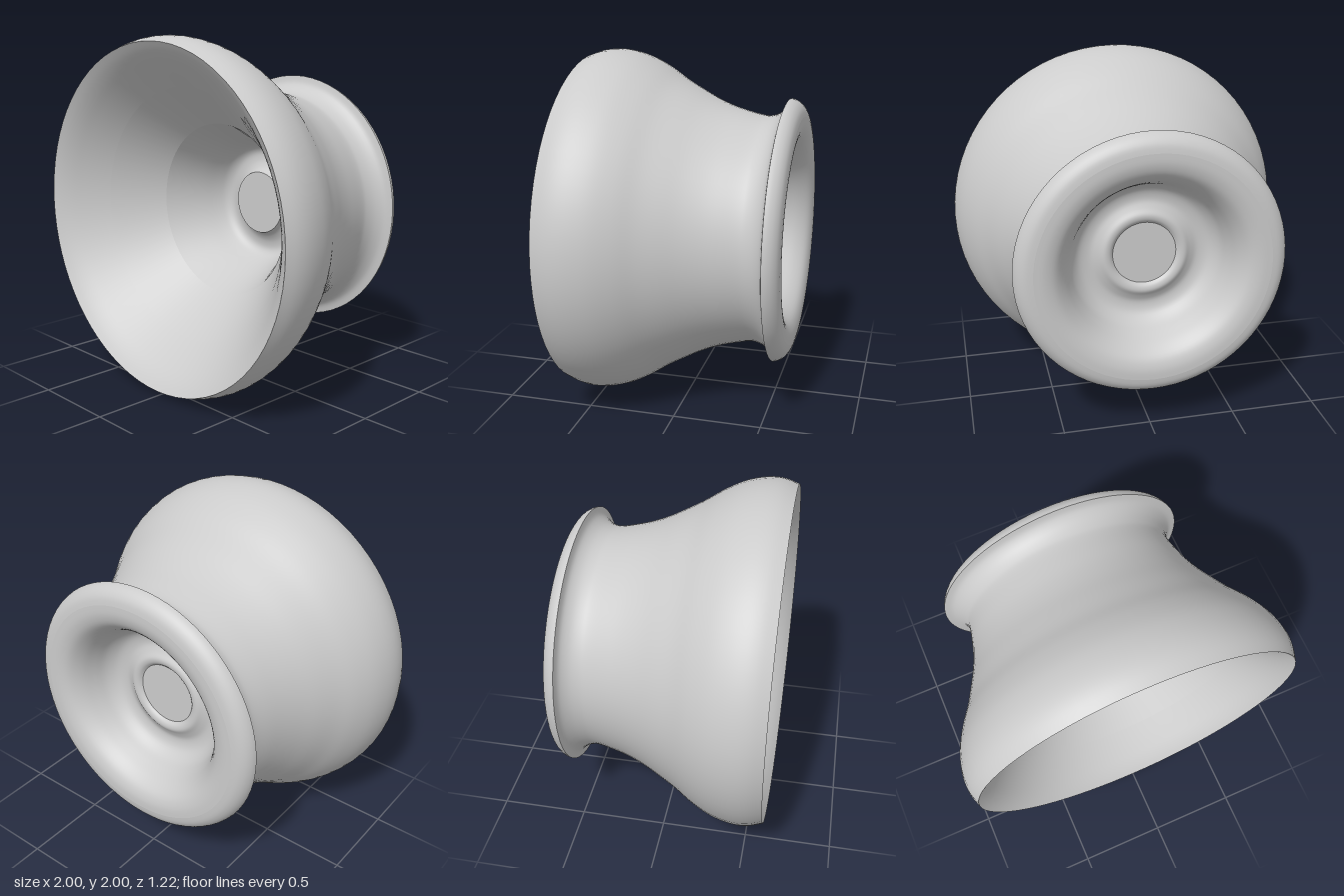
import * as THREE from 'three';

const SEGMENTS = 72;

// Turned surface around the z axis; profile is [radius, z], smoothed unless straight
function turned(name, profile, samples, material) {
  let points = profile.map(([r, z]) => new THREE.Vector2(r, z));
  if (samples) points = new THREE.SplineCurve(points).getPoints(samples);
  points.forEach((p) => { p.x = Math.min(Math.max(p.x, 0), 1); });
  const geometry = new THREE.LatheGeometry(points, SEGMENTS);
  geometry.rotateX(Math.PI / 2);
  const mesh = new THREE.Mesh(geometry, material);
  mesh.name = name;
  return mesh;
}

export function createModel() {
  const group = new THREE.Group();
  group.name = 'turnedBowl';
  const material = new THREE.MeshStandardMaterial({ color: 0xcccccc, side: THREE.DoubleSide });
  const add = (name, profile, samples) => group.add(turned(name, profile, samples, material));

  // Flat centre and ringed dish in the back
  add('backDisc', [[0, -0.34], [0.18, -0.34]], 0);
  add('backDish', [
    [0.18, -0.34], [0.2, -0.357], [0.23, -0.36], [0.265, -0.34], [0.31, -0.325],
    [0.37, -0.34], [0.415, -0.39], [0.445, -0.46], [0.48, -0.53], [0.53, -0.585],
    [0.59, -0.608], [0.65, -0.61],
  ], 44);

  // Rounded edge of the back flange
  add('flangeEdge', [[0.65, -0.61], [0.69, -0.602], [0.722, -0.582], [0.742, -0.555], [0.75, -0.53]], 12);

  // Cove under the flange, sweeping out to the belly
  add('outerWall', [
    [0.75, -0.53], [0.703, -0.515], [0.668, -0.475], [0.651, -0.425], [0.651, -0.38],
    [0.668, -0.3], [0.696, -0.2], [0.736, -0.1], [0.788, 0], [0.844, 0.1], [0.91, 0.2],
    [0.962, 0.3], [0.99, 0.39], [1, 0.47], [0.993, 0.54], [0.97, 0.61],
  ], 64);

  // Inside of the bowl, from the mouth to the seam
  add('innerLip', [
    [0.97, 0.61], [0.925, 0.578], [0.88, 0.538], [0.83, 0.485], [0.78, 0.43], [0.72, 0.363],
  ], 20);
  add('innerCone', [[0.72, 0.363], [0.5, 0.1]], 0);

  // Steep well below the seam, rounding up into the central stud
  add('well', [
    [0.5, 0.1], [0.45, 0.0], [0.4, -0.11], [0.36, -0.21], [0.335, -0.258], [0.3, -0.282],
    [0.255, -0.28], [0.22, -0.265], [0.197, -0.245], [0.185, -0.215],
  ], 36);
  add('studTop', [[0.185, -0.215], [0, -0.215]], 0);

  group.position.y = 1;
  const model = new THREE.Group();
  model.name = 'model';
  model.add(group);
  return model;
}
